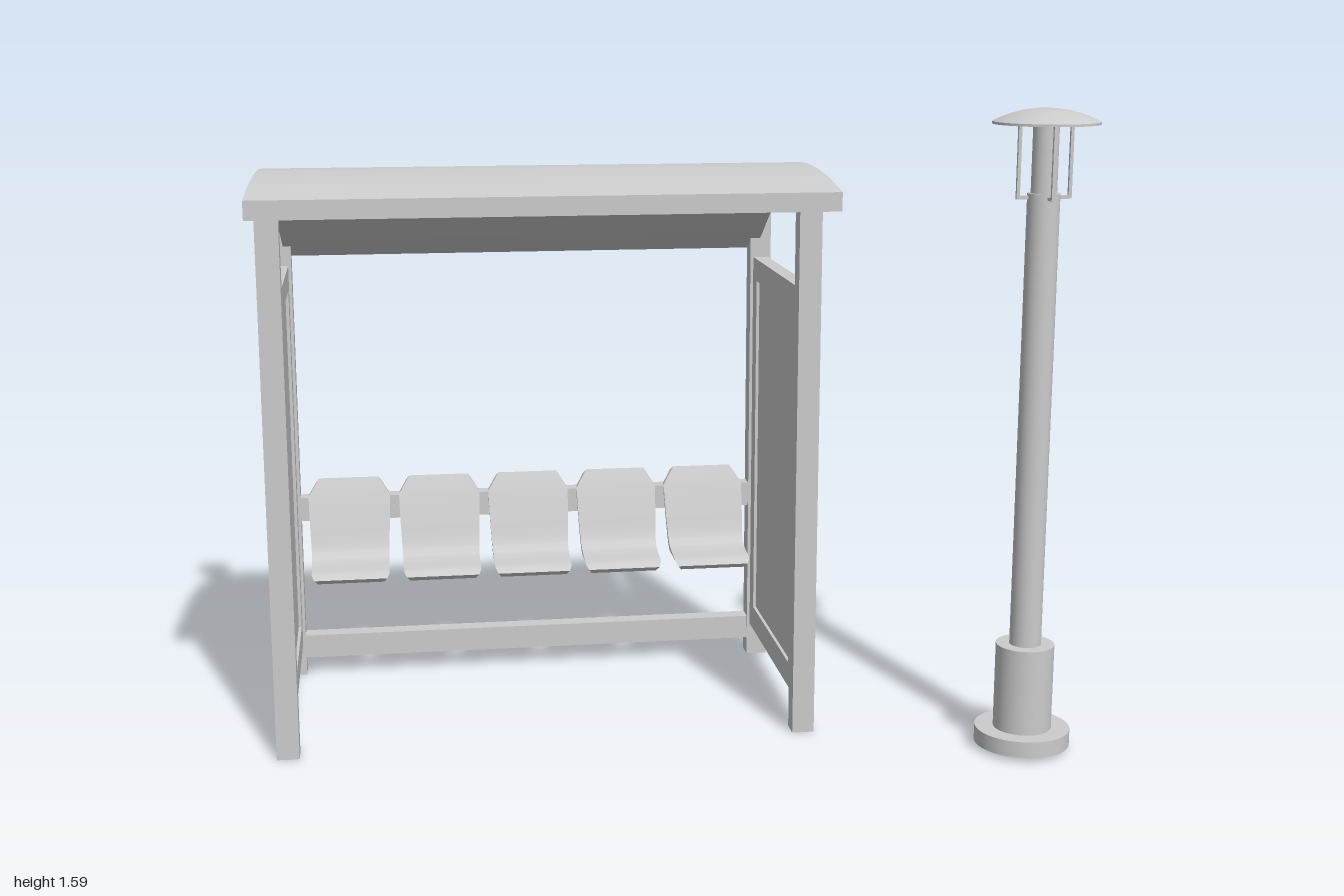
import * as THREE from 'three';
import { toCreasedNormals } from 'three/addons/utils/BufferGeometryUtils.js';

const material = new THREE.MeshStandardMaterial({ color: 0xcccccc });
const CENTRE = -0.305; // middle of the shelter in x
const POST_X = 0.65;   // post distance from that middle

function add(parent, name, geometry, x = 0, y = 0, z = 0) {
  const mesh = new THREE.Mesh(geometry, material);
  mesh.name = name;
  mesh.position.set(x, y, z);
  parent.add(mesh);
  return mesh;
}

// Box given by its extents
function box(parent, name, [x0, x1], [y0, y1], [z0, z1]) {
  return add(parent, name, new THREE.BoxGeometry(x1 - x0, y1 - y0, z1 - z0),
    (x0 + x1) / 2, (y0 + y1) / 2, (z0 + z1) / 2);
}

// Curved sheet: a (z, y) line thickened by an offset, with width ruled by z and y
function sheet(line, dz, dy, divisions, halfWidth) {
  const curve = new THREE.SplineCurve(line.map(([z, y]) => new THREE.Vector2(z, y)));
  const top = curve.getPoints(divisions);
  const under = top.map(p => new THREE.Vector2(p.x + dz, p.y + dy)).reverse();
  const geometry = new THREE.ExtrudeGeometry(new THREE.Shape([...top, ...under]),
    { depth: 2, bevelEnabled: false });
  geometry.translate(0, 0, -1).rotateY(-Math.PI / 2);
  const p = geometry.attributes.position;
  for (let i = 0; i < p.count; i++) {
    p.setX(i, Math.sign(p.getX(i)) * halfWidth(p.getZ(i), p.getY(i)));
  }
  return toCreasedNormals(geometry, 0.6);
}

function lathe(points, segments = 40) {
  const geometry = new THREE.LatheGeometry(points.map(([r, y]) => new THREE.Vector2(r, y)), segments);
  return toCreasedNormals(geometry, 0.6);
}

// Posts with ball finials and a framed panel on one end of the shelter
function createSide(side) {
  const group = new THREE.Group();
  group.name = side > 0 ? 'leftSide' : 'rightSide';
  group.position.x = side * POST_X;
  const w = [-0.028, 0.028];
  box(group, 'frontPost', w, [0, 1.375], [0.155, 0.205]);
  box(group, 'backPost', w, [0, 1.28], [-0.472, -0.42]);
  add(group, 'finial', new THREE.SphereGeometry(0.052, 32, 20), 0, 1.308, -0.446);

  const frame = new THREE.Shape([[-0.42, 0.09], [0.155, 0.09], [0.155, 1.145], [-0.42, 1.145]]
    .map(c => new THREE.Vector2(...c)));
  frame.holes.push(new THREE.Path([[-0.37, 0.155], [-0.37, 1.085], [0.105, 1.085], [0.105, 0.155]]
    .map(c => new THREE.Vector2(...c))));
  const geometry = new THREE.ExtrudeGeometry(frame, { depth: 0.04, bevelEnabled: false });
  geometry.translate(0, 0, -0.02).rotateY(-Math.PI / 2);
  add(group, 'panelFrame', geometry);
  box(group, 'panel', [-0.012, 0.012], [0.15, 1.09], [-0.375, 0.11]);
  return group;
}

function createShelter() {
  const shelter = new THREE.Group();
  shelter.name = 'shelter';
  shelter.position.x = CENTRE;
  shelter.add(createSide(-1), createSide(1));

  // Rails between the back posts
  const span = [-POST_X + 0.028, POST_X - 0.028];
  box(shelter, 'lowerRail', span, [0.048, 0.112], [-0.47, -0.422]);
  box(shelter, 'seatRail', span, [0.44, 0.505], [-0.468, -0.424]);

  // Arched roof, narrowing toward the back
  const roofLine = [[0.31, 1.393], [0.2, 1.418], [0.1, 1.432], [0, 1.437], [-0.1, 1.428],
    [-0.2, 1.398], [-0.3, 1.337], [-0.4, 1.258], [-0.465, 1.212]];
  add(shelter, 'roof', sheet(roofLine, 0, -0.046, 32,
    z => THREE.MathUtils.mapLinear(z, -0.465, 0.31, 0.642, 0.698)), 0.003);

  // Row of shell seats with clipped corners
  const seatLine = [[-0.437, 0.556], [-0.415, 0.51], [-0.388, 0.44], [-0.366, 0.382],
    [-0.345, 0.356], [-0.31, 0.346], [-0.255, 0.339], [-0.228, 0.326]];
  const widths = [[0.314, 0.088], [0.336, 0.103], [0.44, 0.108], [0.51, 0.11], [0.556, 0.08]];
  const seatWidth = (z, y) => {
    const i = Math.max(1, widths.findIndex(([h]) => h >= y - 1e-6));
    const [[y0, w0], [y1, w1]] = [widths[i - 1], widths[i]];
    return THREE.MathUtils.mapLinear(y, y0, y1, w0, w1);
  };
  const seat = sheet(seatLine, -0.011, -0.012, 28, seatWidth);
  for (let i = -2; i <= 2; i++) add(shelter, 'seat', seat, i * 0.245);
  return shelter;
}

function createLamp() {
  const lamp = new THREE.Group();
  lamp.name = 'streetLamp';
  lamp.position.set(0.87, 0, 0.37);

  // Base ring hollow from below, sleeve and pole
  add(lamp, 'base', lathe([[0.09, 0.04], [0.09, 0.012], [0.118, 0.012], [0.118, 0.053],
    [0.06, 0.053], [0.06, 0.04], [0.09, 0.04]]));
  add(lamp, 'sleeve', new THREE.CylinderGeometry(0.072, 0.072, 0.23, 40), 0, 0.155, 0);
  add(lamp, 'pole', new THREE.CylinderGeometry(0.039, 0.039, 1.13, 32), 0, 0.825, 0);
  add(lamp, 'neck', new THREE.CylinderGeometry(0.031, 0.031, 0.19, 32), 0, 1.465, 0);

  // Shallow domed cap
  add(lamp, 'cap', lathe([[0, 1.553], [0.127, 1.553], [0.127, 1.559], [0.11, 1.567], [0.085, 1.577],
    [0.055, 1.585], [0.028, 1.589], [0, 1.59]], 48));

  // Four thin brackets around the neck
  for (let i = 0; i < 4; i++) {
    const bracket = new THREE.Group();
    bracket.name = 'bracket';
    bracket.rotation.y = i * Math.PI / 2;
    box(bracket, 'bracketBar', [0.06, 0.068], [1.376, 1.556], [-0.004, 0.004]);
    box(bracket, 'bracketFoot', [0.03, 0.064], [1.376, 1.384], [-0.004, 0.004]);
    lamp.add(bracket);
  }
  return lamp;
}

export function createModel() {
  const model = new THREE.Group();
  model.name = 'busShelterWithLamp';
  model.add(createShelter(), createLamp());
  return model;
}
